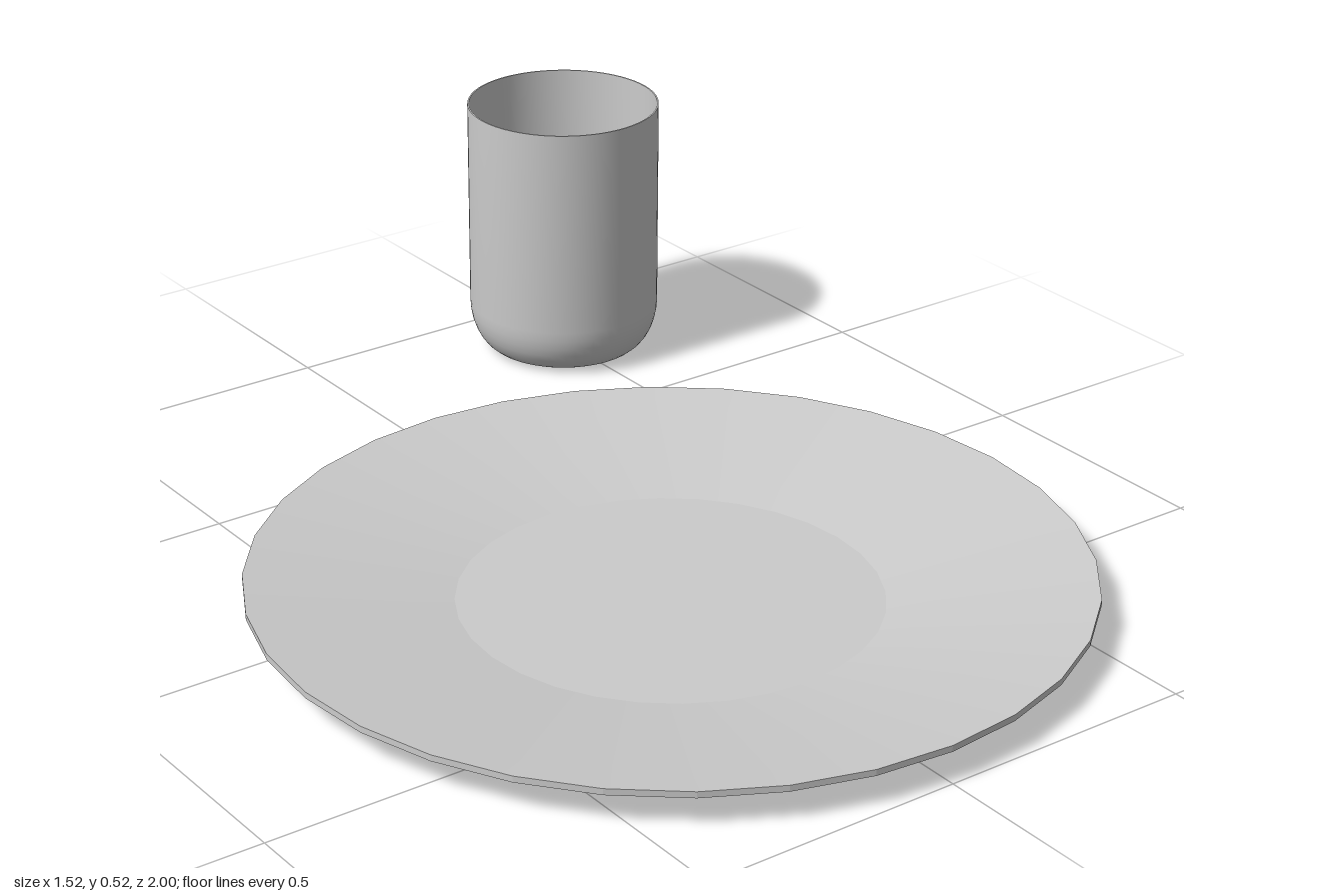
import * as THREE from 'three';
import { toCreasedNormals } from 'three/addons/utils/BufferGeometryUtils.js';

const material = new THREE.MeshStandardMaterial({ color: 0xcccccc });

// Closed profile of [radius, y] pairs, running from the underside round to the inside
function turned(name, profile, segments, crease) {
  const points = profile.map(([r, y]) => new THREE.Vector2(r, y));
  const geometry = toCreasedNormals(new THREE.LatheGeometry(points, segments), crease);
  const mesh = new THREE.Mesh(geometry, material);
  mesh.name = name;
  return mesh;
}

export function createModel() {
  const model = new THREE.Group();
  model.name = 'tableware';

  // Shallow plate: flat base, sloping sides, thin upright rim, flat well
  const plate = turned('plate', [
    [0, 0], [0.475, 0], [0.76, 0.058], [0.76, 0.07], [0.385, 0.013], [0, 0.013],
  ], 32, 0.1);
  plate.position.set(0, 0, 0.235);
  model.add(plate);

  // Tumbler: rounded foot, thin straight wall, flat inner floor
  const foot = [];
  for (let i = 0; i <= 8; i++) {
    const a = (i / 8) * Math.PI / 2;
    foot.push([0.13 + 0.063 * Math.sin(a), 0.1 * (1 - Math.cos(a))]);
  }
  const cup = turned('cup', [
    [0, 0], ...foot, [0.193, 0.525], [0.19, 0.525], [0.19, 0.1], [0, 0.1],
  ], 64, 0.7);
  cup.position.set(0.505, 0, -0.807);
  model.add(cup);

  return model;
}
